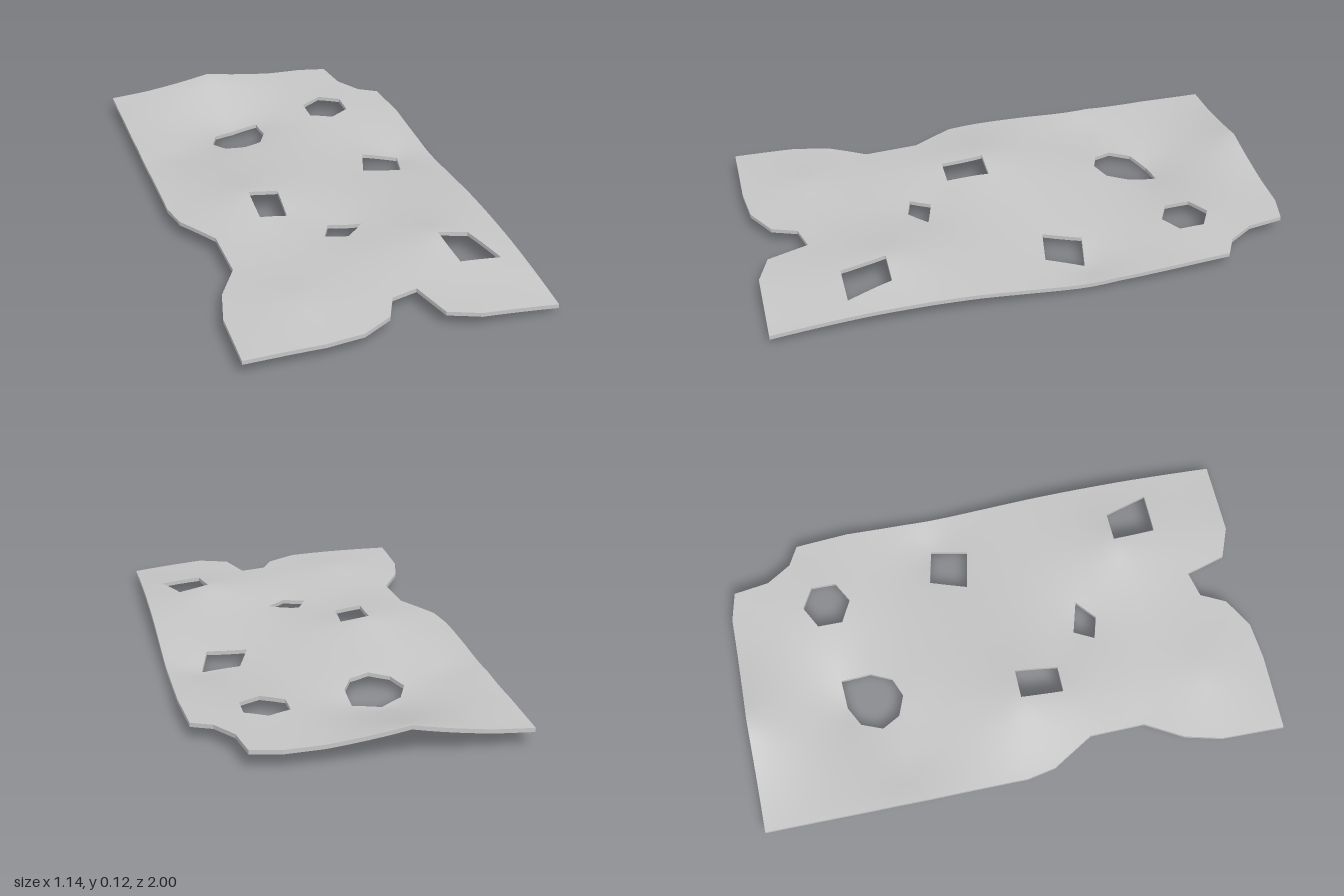
import * as THREE from 'three';

const THICKNESS = 0.0155;
const MAX_EDGE = 0.05;
const BASE = 0.067;

// Ragged outline (clockwise) and torn holes as [x, z]
const outline = [
  [-0.57, -1], [0.29, -1], [0.4, -0.975], [0.42, -0.84], [0.48, -0.745], [0.555, -0.705], [0.57, -0.5],
  [0.57, 1], [0.28, 1], [0.165, 0.955], [0.12, 0.8], [0.02, 0.825], [-0.025, 0.92], [-0.14, 0.985],
  [-0.28, 1], [-0.57, 1], [-0.565, 0.76], [-0.53, 0.62], [-0.45, 0.48], [-0.455, 0.27], [-0.55, 0.11], [-0.57, 0],
];
const holes = [
  [[-0.22, -0.43], [-0.145, -0.4], [-0.07, -0.43], [-0.03, -0.51], [-0.03, -0.625], [-0.14, -0.62], [-0.22, -0.58], [-0.255, -0.5]],
  [[0.2, -0.58], [0.285, -0.535], [0.365, -0.58], [0.365, -0.675], [0.285, -0.72], [0.2, -0.675]],
  [[0.25, -0.07], [0.4, -0.04], [0.44, -0.18], [0.3, -0.21]],
  [[-0.265, 0.205], [-0.16, 0.205], [-0.145, 0.04], [-0.26, 0.04]],
  [[-0.07, 0.375], [0.015, 0.4], [0.09, 0.335], [-0.03, 0.3]],
  [[0.325, 0.71], [0.485, 0.71], [0.43, 0.54], [0.31, 0.54]],
];

// Height of the upper face at a few spots, [x, z, y]
const bumps = [
  [-0.42, -1, 0.079], [-0.14, -1, 0.122], [0.147, -1, 0.08], [0.29, -1, 0.075], [0.4, -0.97, 0.074],
  [0.285, -0.63, 0.072], [0.55, -0.7, 0.063], [0.57, -0.5, 0.06], [0.57, -0.26, 0.045],
  [0.57, 0.24, 0.066], [0.57, 0.5, 0.07], [0.57, 1, 0.036], [0.28, 1, 0.065], [0.12, 0.8, 0.072],
  [-0.03, 0.92, 0.066], [-0.28, 1, 0.068], [-0.285, 0.75, 0.09], [-0.45, 0.48, 0.07], [-0.45, 0.27, 0.078],
  [-0.25, -0.5, 0.04], [-0.14, -0.62, 0.018], [-0.03, -0.625, 0.034], [-0.03, -0.5, 0.05], [-0.145, -0.4, 0.06],
  [-0.43, -0.43, 0.048], [0.3, -0.2, 0.046], [0.44, -0.18, 0.02], [0.4, -0.04, 0.046], [0.25, -0.07, 0.053],
  [-0.26, 0.04, 0.111], [-0.145, 0.04, 0.095], [-0.16, 0.2, 0.08], [-0.265, 0.2, 0.095], [0.01, 0.35, 0.064],
  [0.31, 0.54, 0.111], [0.43, 0.54, 0.086], [0.485, 0.71, 0.07], [0.325, 0.71, 0.085],
];
for (let z = -1; z <= 1; z += 0.25) bumps.push([-0.57, z, 0.07]);

// Tent weights: solve for straight slopes running between the spots
function solveTents() {
  const rows = bumps.map(([x, z, y]) => [...bumps.map(([bx, bz]) => Math.hypot(x - bx, z - bz)), y - BASE]);
  const n = rows.length;
  for (let i = 0; i < n; i++) {
    let pivot = i;
    for (let r = i + 1; r < n; r++) if (Math.abs(rows[r][i]) > Math.abs(rows[pivot][i])) pivot = r;
    [rows[i], rows[pivot]] = [rows[pivot], rows[i]];
    for (let r = 0; r < n; r++) {
      if (r === i) continue;
      const f = rows[r][i] / rows[i][i];
      for (let c = i; c <= n; c++) rows[r][c] -= f * rows[i][c];
    }
  }
  return rows.map((row, i) => row[n] / row[i]);
}
const tents = solveTents();

function height(x, z) {
  return bumps.reduce((sum, [bx, bz], i) => sum + tents[i] * Math.hypot(x - bx, z - bz), BASE);
}

// Halve the longest edge until the triangle is small enough to bend
function subdivide(a, b, c, out) {
  const ab = a.distanceTo(b), bc = b.distanceTo(c), ca = c.distanceTo(a);
  const longest = Math.max(ab, bc, ca);
  if (longest < MAX_EDGE) { out.push(a, b, c); return; }
  if (longest === bc) [a, b, c] = [b, c, a];
  else if (longest === ca) [a, b, c] = [c, a, b];
  const m = a.clone().add(b).multiplyScalar(0.5);
  subdivide(a, m, c, out);
  subdivide(m, b, c, out);
}

function sheetGeometry() {
  const toPoints = (list) => list.map(([x, z]) => new THREE.Vector2(x, -z));
  const shape = new THREE.Shape(toPoints(outline));
  for (const hole of holes) shape.holes.push(new THREE.Path(toPoints(hole)));
  const flat = new THREE.ExtrudeGeometry(shape, { depth: THICKNESS, bevelEnabled: false });
  flat.rotateX(-Math.PI / 2);

  const source = flat.attributes.position;
  const corner = (i) => new THREE.Vector3().fromBufferAttribute(source, i);
  const points = [];
  for (let i = 0; i < source.count; i += 3) subdivide(corner(i), corner(i + 1), corner(i + 2), points);

  const geometry = new THREE.BufferGeometry().setFromPoints(points);
  geometry.computeVertexNormals();
  const position = geometry.attributes.position, normal = geometry.attributes.normal;
  const n = new THREE.Vector3(), e = 0.06;
  for (let i = 0; i < position.count; i++) {
    const x = position.getX(i), z = position.getZ(i), ny = normal.getY(i);
    position.setY(i, position.getY(i) + height(x, z) - THICKNESS);
    // Broad faces get smooth normals, cut edges stay sharp
    if (Math.abs(ny) > 0.5) {
      n.set((height(x - e, z) - height(x + e, z)) / (2 * e), 1, (height(x, z - e) - height(x, z + e)) / (2 * e));
      n.normalize().multiplyScalar(Math.sign(ny));
      normal.setXYZ(i, n.x, n.y, n.z);
    }
  }
  geometry.computeBoundingBox();
  geometry.translate(0, -geometry.boundingBox.min.y, 0);
  return geometry;
}

export function createModel() {
  const group = new THREE.Group();
  group.name = 'tornSheet';
  const grey = new THREE.MeshStandardMaterial({ color: 0xc5c5c5 });
  grey.name = 'lightGrey';
  const sheet = new THREE.Mesh(sheetGeometry(), grey);
  sheet.name = 'sheet';
  group.add(sheet);
  return group;
}
